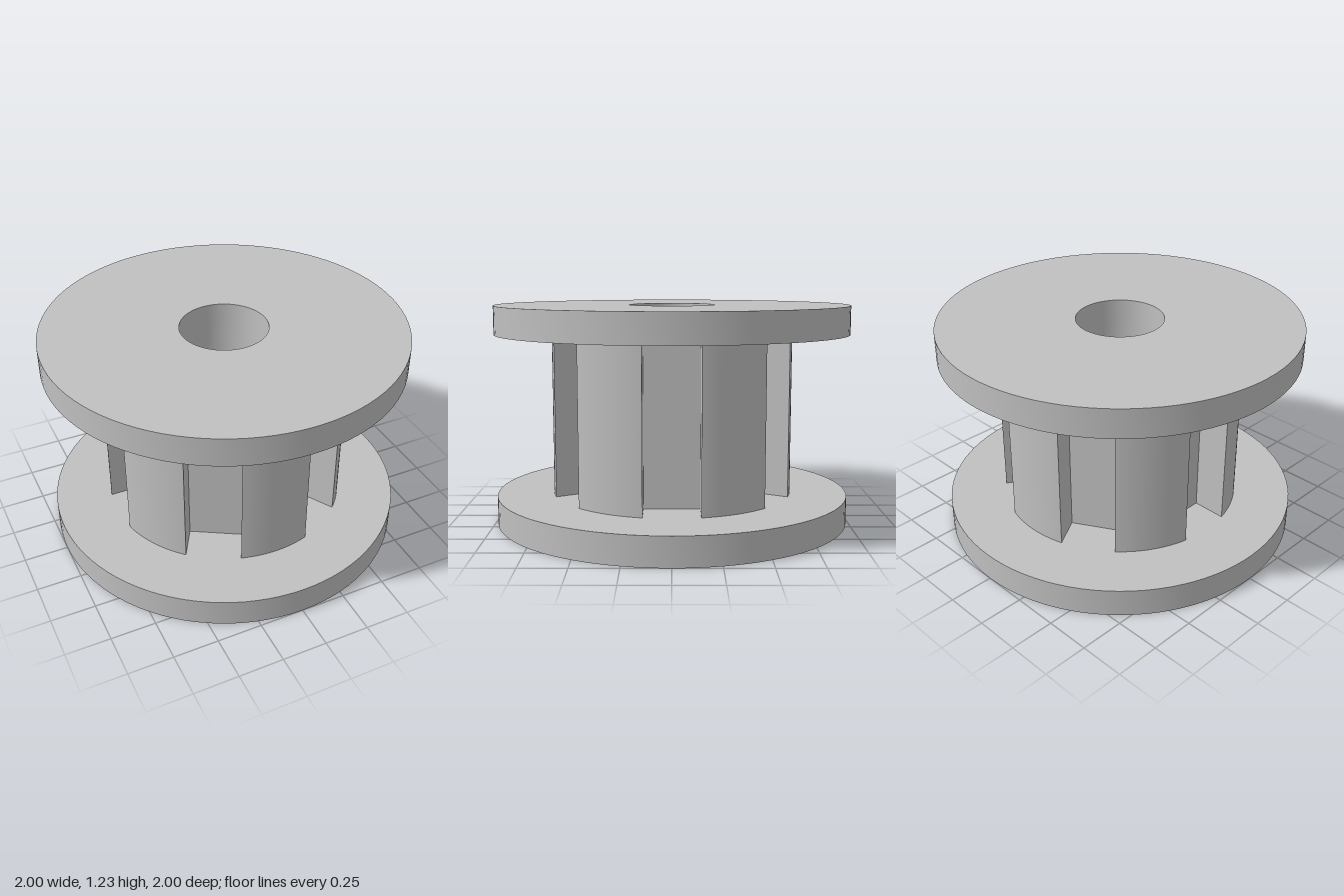
import * as THREE from 'three';
import { toCreasedNormals } from 'three/addons/utils/BufferGeometryUtils.js';

const BORE = 0.243, FLANGE_R = 1, FLANGE_H = 0.16, HEIGHT = 1.23;
const TOOTH_R = 0.68, FLOOR_R = 0.474, SLOT_HALF = 0.152, TEETH = 6;

export function createModel() {
  const group = new THREE.Group();
  const steel = new THREE.MeshStandardMaterial({ color: 0xc0c0c0 });
  steel.name = 'grey steel';

  // Extrude a plan outline upward, with the shaft bore cut through it
  function addPart(name, shape, y, height) {
    shape.holes.push(new THREE.Path().absarc(0, 0, BORE, 0, Math.PI * 2, true));
    const geo = new THREE.ExtrudeGeometry(shape, { depth: height, bevelEnabled: false, curveSegments: 48 });
    geo.rotateX(-Math.PI / 2);
    const mesh = new THREE.Mesh(toCreasedNormals(geo, Math.PI / 7), steel);
    mesh.name = name;
    mesh.position.y = y;
    group.add(mesh);
  }

  // Two equal end flanges
  const disc = () => new THREE.Shape().absarc(0, 0, FLANGE_R, 0, Math.PI * 2, false);
  addPart('bottomFlange', disc(), 0, FLANGE_H);
  addPart('topFlange', disc(), HEIGHT - FLANGE_H, FLANGE_H);

  // Toothed hub: round-topped teeth between parallel-sided, flat-bottomed slots
  const hub = new THREE.Shape();
  const step = (Math.PI * 2) / TEETH;
  const half = step / 2 - Math.asin(SLOT_HALF / TOOTH_R);
  for (let i = 0; i < TEETH; i++) {
    const mid = Math.PI / 2 + i * step;
    const slot = mid + step / 2;
    const c = Math.cos(slot), s = Math.sin(slot);
    if (i === 0) hub.moveTo(TOOTH_R * Math.cos(mid - half), TOOTH_R * Math.sin(mid - half));
    hub.absarc(0, 0, TOOTH_R, mid - half, mid + half, false);
    for (const t of [-SLOT_HALF, SLOT_HALF]) hub.lineTo(FLOOR_R * c - t * s, FLOOR_R * s + t * c);
  }
  hub.closePath();
  addPart('toothedHub', hub, FLANGE_H, HEIGHT - 2 * FLANGE_H);

  return group;
}
